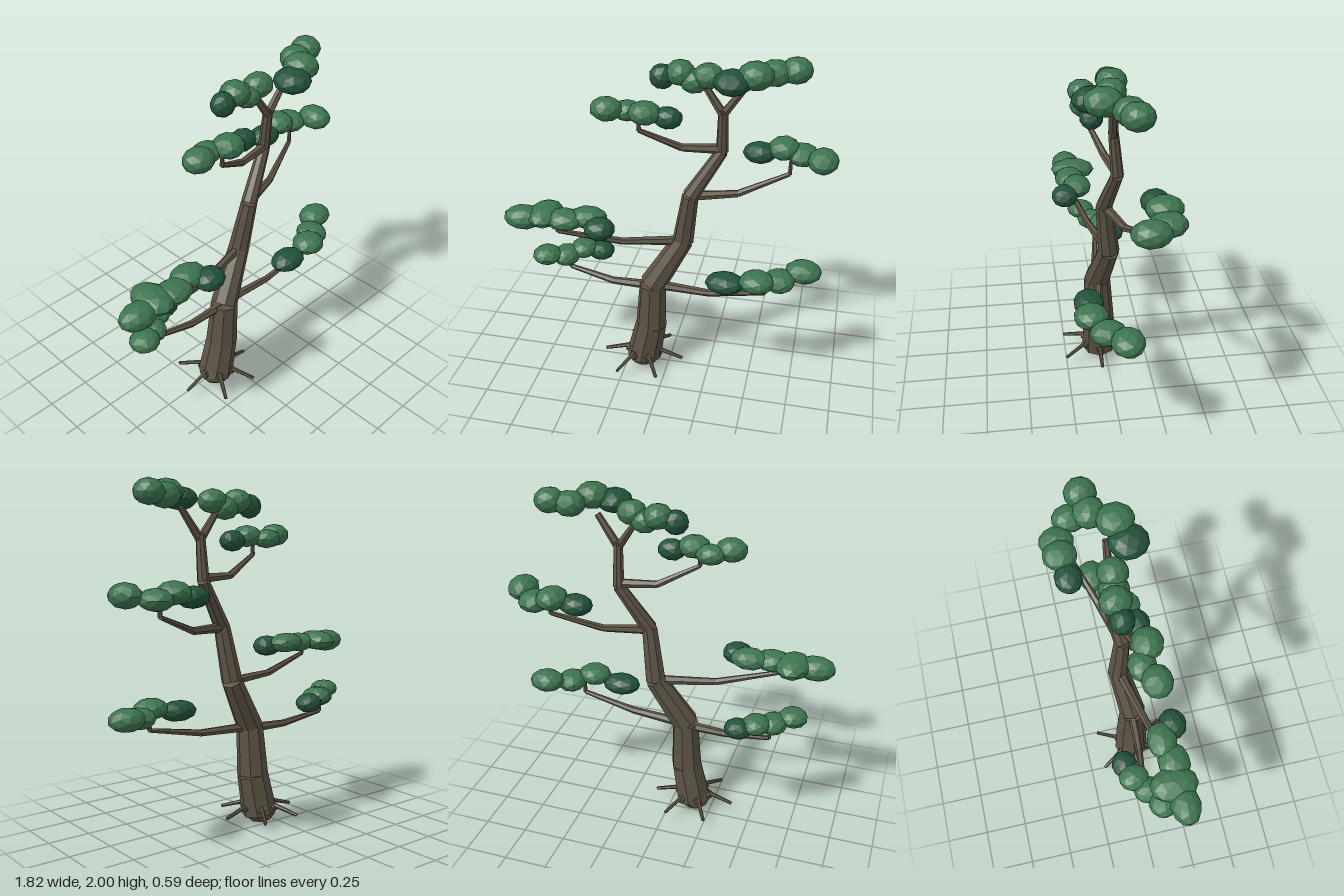
import * as THREE from 'three';

export function createModel() {
  const model = new THREE.Group();
  model.name = 'bonsaiTree';

  const mat = (name, color) => {
    const m = new THREE.MeshStandardMaterial({ color, flatShading: true });
    m.name = name;
    return m;
  };
  const bark = mat('bark', 0x5c5345);
  const leaf = mat('leafGreen', 0x3d7450);
  const darkLeaf = mat('darkLeafGreen', 0x22523a);

  const group = (name) => {
    const g = new THREE.Group();
    g.name = name;
    model.add(g);
    return g;
  };

  // Tapered cylinder between two points
  const limb = (parent, name, a, b, ra, rb, sides) => {
    const p = new THREE.Vector3(...a), q = new THREE.Vector3(...b);
    const dir = q.clone().sub(p);
    const mesh = new THREE.Mesh(new THREE.CylinderGeometry(rb, ra, dir.length(), sides), bark);
    mesh.name = name;
    mesh.position.copy(p).add(q).multiplyScalar(0.5);
    mesh.quaternion.setFromUnitVectors(new THREE.Vector3(0, 1, 0), dir.normalize());
    parent.add(mesh);
  };

  // Chain of limbs; each point is [x, y, z, radius]
  const chain = (parent, name, pts, sides) => {
    for (let i = 0; i < pts.length - 1; i++) {
      const a = pts[i], b = pts[i + 1];
      limb(parent, name, a.slice(0, 3), b.slice(0, 3), a[3], b[3], sides);
    }
  };

  // Trunk
  const trunk = group('trunk');
  chain(trunk, 'trunkSegment', [
    [-0.145, 0.07, 0.04, 0.105],
    [-0.097, 0.31, 0.045, 0.092],
    [-0.083, 0.60, 0.055, 0.078],
    [0.085, 0.89, 0.005, 0.06],
    [0.13, 1.20, 0.038, 0.046],
    [0.29, 1.46, -0.012, 0.034],
    [0.292, 1.71, 0.01, 0.026],
  ], 8);

  // Root ball and six spreading roots
  const roots = group('roots');
  const ball = new THREE.Mesh(new THREE.IcosahedronGeometry(1, 1), bark);
  ball.name = 'rootBall';
  ball.scale.set(0.098, 0.085, 0.098);
  ball.position.set(-0.15, 0.085, 0.042);
  roots.add(ball);
  for (let i = 0; i < 6; i++) {
    const t = (i * Math.PI) / 3, c = Math.cos(t), s = Math.sin(t);
    const at = (d, y) => [-0.145 + c * d, y, 0.045 + s * d];
    limb(roots, 'rootKnob', at(0.04, 0.08), at(0.105, 0.11), 0.034, 0.026, 6);
    limb(roots, 'root', at(0.08, 0.122), at(0.24, 0.07), 0.014, 0.01, 6);
  }

  // Branches, each ending in a small upright twig
  const branches = {
    lowerRightBranch: [[-0.08, 0.585, 0.05], [-0.33, 0.58, 0.04], [-0.595, 0.625, 0.01], [-0.595, 0.70, 0.01]],
    lowerLeftBranch: [[-0.06, 0.595, 0.05], [0.25, 0.60, 0.08], [0.575, 0.66, 0.1], [0.575, 0.74, 0.1]],
    middleRightBranch: [[0.07, 0.89, 0.01], [-0.25, 0.89, 0.09], [-0.6, 0.965, 0.18], [-0.6, 1.02, 0.18]],
    middleLeftBranch: [[0.14, 1.195, 0.03], [0.38, 1.20, -0.04], [0.65, 1.30, -0.14], [0.65, 1.40, -0.14]],
    upperRightBranch: [[0.29, 1.475, -0.01], [0.08, 1.48, 0.03], [-0.14, 1.59, 0.1], [-0.14, 1.67, 0.1]],
  };
  const radii = [0.028, 0.021, 0.013, 0.009];
  for (const [name, pts] of Object.entries(branches)) {
    chain(group(name), 'branchSegment', pts.map((p, i) => [...p, radii[i]]), 6);
  }
  const fork = group('topFork');
  chain(fork, 'forkLimb', [[0.292, 1.68, 0.01, 0.025], [0.19, 1.83, 0.0, 0.018]], 6);
  chain(fork, 'forkLimb', [[0.292, 1.68, 0.01, 0.025], [0.41, 1.85, 0.02, 0.018]], 6);

  // Foliage pads: first clump of each is dark; [x, y, z, rx, ry, rz]
  const pads = {
    lowerRightFoliage: [
      [-0.43, 0.71, -0.075, 0.082, 0.058, 0.075], [-0.525, 0.735, -0.04, 0.08, 0.055, 0.09],
      [-0.61, 0.715, 0.03, 0.08, 0.06, 0.09], [-0.71, 0.74, 0.09, 0.085, 0.055, 0.085]],
    lowerLeftFoliage: [
      [0.355, 0.73, 0.15, 0.115, 0.06, 0.085], [0.53, 0.765, 0.155, 0.1, 0.06, 0.095],
      [0.65, 0.74, 0.08, 0.09, 0.06, 0.1], [0.775, 0.765, -0.005, 0.105, 0.065, 0.09]],
    middleRightFoliage: [
      [-0.345, 1.03, 0.215, 0.09, 0.063, 0.08], [-0.43, 1.05, 0.135, 0.11, 0.06, 0.085],
      [-0.56, 1.04, 0.17, 0.115, 0.058, 0.09], [-0.68, 1.045, 0.14, 0.1, 0.06, 0.135],
      [-0.8, 1.03, 0.175, 0.115, 0.068, 0.085]],
    middleLeftFoliage: [
      [0.475, 1.395, -0.18, 0.095, 0.06, 0.08], [0.605, 1.425, -0.2, 0.09, 0.063, 0.1],
      [0.71, 1.395, -0.2, 0.09, 0.06, 0.1], [0.825, 1.415, -0.1, 0.085, 0.068, 0.105]],
    upperRightFoliage: [
      [0.015, 1.67, 0.09, 0.08, 0.06, 0.065], [-0.105, 1.695, 0.11, 0.09, 0.063, 0.085],
      [-0.21, 1.68, 0.06, 0.085, 0.055, 0.075], [-0.31, 1.70, 0.11, 0.09, 0.065, 0.08]],
    crownRightFoliage: [
      [-0.035, 1.86, 0.0, 0.07, 0.068, 0.065], [0.06, 1.885, -0.01, 0.08, 0.068, 0.085],
      [0.135, 1.85, 0.0, 0.08, 0.066, 0.08], [0.21, 1.885, 0.01, 0.083, 0.068, 0.08]],
    crownLeftFoliage: [
      [0.35, 1.9, 0.12, 0.1, 0.065, 0.105], [0.46, 1.93, 0.08, 0.095, 0.073, 0.1],
      [0.545, 1.91, -0.035, 0.09, 0.07, 0.085], [0.65, 1.925, -0.055, 0.085, 0.07, 0.085]],
  };
  const clump = new THREE.IcosahedronGeometry(1, 1);
  let turn = 0;
  for (const [name, clumps] of Object.entries(pads)) {
    const pad = group(name);
    clumps.forEach(([x, y, z, rx, ry, rz], i) => {
      // Turn the facets of each clump before flattening it
      const geo = clump.clone().rotateY(turn++ * 0.7).scale(rx, ry, rz);
      const mesh = new THREE.Mesh(geo, i === 0 ? darkLeaf : leaf);
      mesh.name = i === 0 ? 'darkLeafClump' : 'leafClump';
      mesh.position.set(x, y, z);
      pad.add(mesh);
    });
  }

  return model;
}
